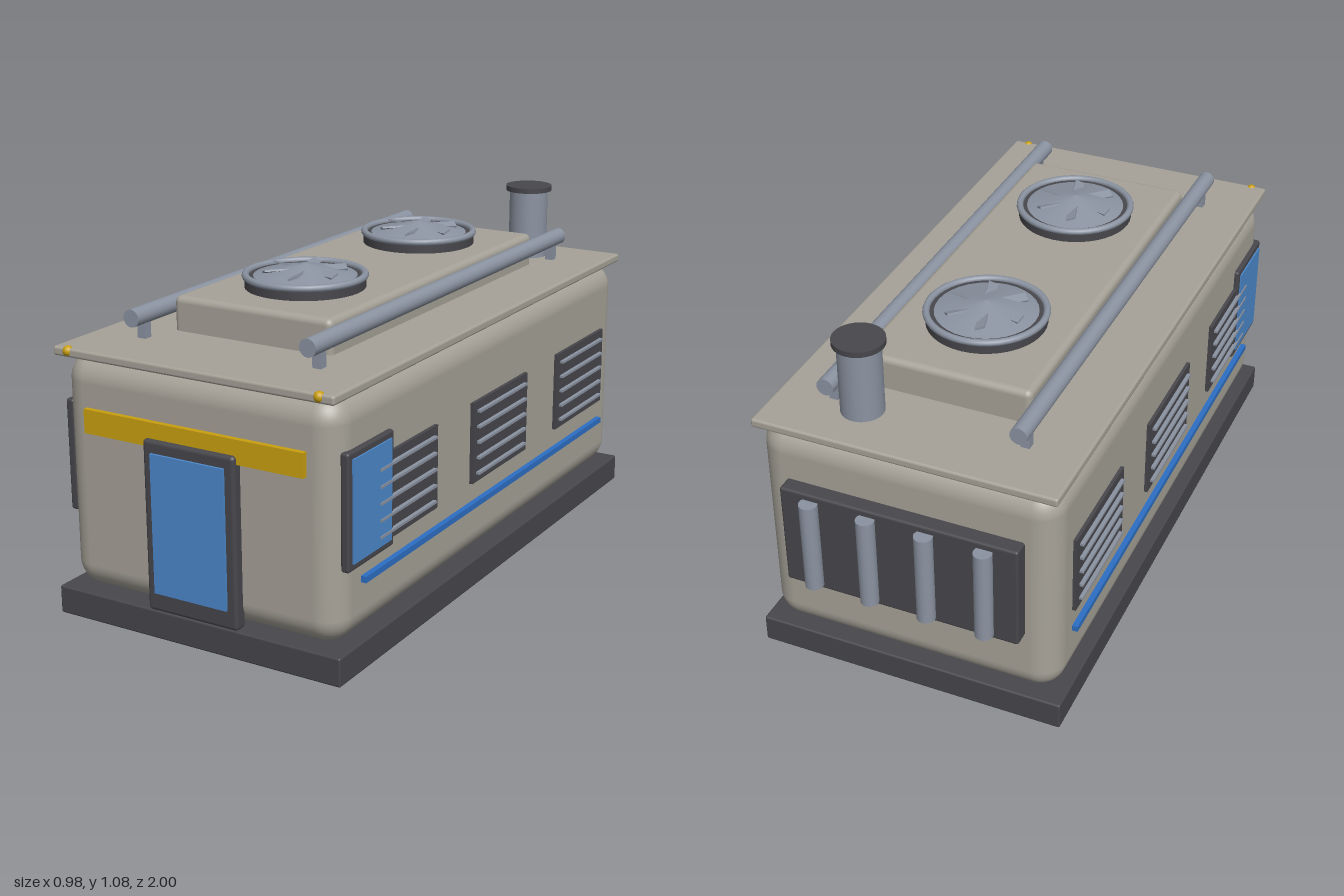
import * as THREE from 'three';
import { RoundedBoxGeometry } from 'three/addons/geometries/RoundedBoxGeometry.js';

const material = (name, color) => {
  const m = new THREE.MeshStandardMaterial({ color });
  m.name = name;
  return m;
};

export function createModel() {
  const shell = material('warm grey shell', 0xa6a298);
  const dark = material('dark trim', 0x47474c);
  const metal = material('grey metal', 0x8b93a1);
  const glass = material('blue glass', 0x4c88cb);
  const blue = material('blue stripe', 0x2c6fc4);
  const yellow = material('yellow', 0xc9a010);

  const model = new THREE.Group();
  model.name = 'cabin';

  const add = (name, geometry, mat, x = 0, y = 0, z = 0, parent = model) => {
    const mesh = new THREE.Mesh(geometry, mat);
    mesh.name = name;
    mesh.position.set(x, y, z);
    parent.add(mesh);
    return mesh;
  };
  // Boxes given by their limits on each axis; a radius rounds the edges
  const box = (name, mat, [x0, x1], [y0, y1], [z0, z1], radius = 0, segments = 3) => {
    const size = [x1 - x0, y1 - y0, z1 - z0];
    const geometry = radius
      ? new RoundedBoxGeometry(...size, segments, radius)
      : new THREE.BoxGeometry(...size);
    return add(name, geometry, mat, (x0 + x1) / 2, (y0 + y1) / 2, (z0 + z1) / 2);
  };
  const onSide = (s, a, b) => (s > 0 ? [a, b] : [-b, -a]);

  // Main volumes
  box('base', dark, [-0.49, 0.49], [0, 0.088], [-0.93, 0.985], 0.006, 2);
  box('body', shell, [-0.468, 0.468], [0.088, 0.812], [-0.91, 0.96], 0.08, 6);
  box('roof', shell, [-0.473, 0.473], [0.807, 0.835], [-0.92, 0.98], 0.008, 2);
  box('roofUnit', shell, [-0.272, 0.272], [0.81, 0.94], [-0.63, 0.668], 0.02);

  // Front door, sign band and marker lamps
  box('doorFrame', dark, [-0.156, 0.156], [0.09, 0.612], [0.945, 0.991], 0.012);
  box('doorGlass', glass, [-0.125, 0.125], [0.15, 0.575], [0.99, 0.999]);
  box('signBand', yellow, [-0.373, 0.373], [0.587, 0.66], [0.955, 0.977]);
  for (const s of [-1, 1])
    add('markerLamp', new THREE.SphereGeometry(0.016, 16, 12), yellow, s * 0.423, 0.825, 0.972);

  // Side windows, louvred vents, stripes and roof rails
  for (const s of [-1, 1]) {
    box('windowFrame', dark, onSide(s, 0.455, 0.483), [0.314, 0.66], [0.677, 0.924], 0.008, 2);
    box('windowGlass', glass, onSide(s, 0.482, 0.488), [0.337, 0.64], [0.697, 0.905]);
    box('sideStripe', blue, onSide(s, 0.464, 0.485), [0.255, 0.274], [-0.785, 0.835]);
    for (const z of [0.6, 0, -0.6]) {
      box('vent', dark, onSide(s, 0.455, 0.479), [0.336, 0.595], [z - 0.187, z + 0.187]);
      for (let i = 0; i < 5; i++) {
        const y = 0.365 + i * 0.05;
        box('ventSlat', metal, onSide(s, 0.47, 0.491), [y - 0.004, y + 0.004], [z - 0.163, z + 0.163]);
      }
    }
    const rail = add('roofRail', new THREE.CylinderGeometry(0.027, 0.027, 1.62, 20), metal, s * 0.3, 0.905, 0.025);
    rail.rotation.x = Math.PI / 2;
    for (const z of [0.775, -0.725])
      box('railPost', metal, [s * 0.3 - 0.014, s * 0.3 + 0.014], [0.83, 0.9], [z - 0.014, z + 0.014]);
  }

  // Roof fans: dark drum, metal rim, shallow cone and tilted blades
  for (const z of [0.372, -0.328]) {
    const fan = new THREE.Group();
    fan.name = 'roofFan';
    fan.position.set(0, 0.94, z);
    model.add(fan);
    add('fanDrum', new THREE.CylinderGeometry(0.183, 0.183, 0.036, 40), dark, 0, 0.016, 0, fan);
    const rim = add('fanRim', new THREE.TorusGeometry(0.18, 0.011, 10, 40), metal, 0, 0.036, 0, fan);
    rim.rotation.x = Math.PI / 2;
    add('fanCone', new THREE.ConeGeometry(0.157, 0.036, 32), metal, 0, 0.053, 0, fan);
    for (let i = 0; i < 6; i++) {
      const pivot = new THREE.Group();
      pivot.name = 'fanBladePivot';
      pivot.rotation.y = (i * Math.PI) / 3 + Math.PI / 4;
      fan.add(pivot);
      const blade = add('fanBlade', new THREE.BoxGeometry(0.075, 0.006, 0.03), metal, 0.09, 0.051, 0, pivot);
      blade.rotation.x = 0.35;
    }
  }

  // Exhaust stack
  add('stack', new THREE.CylinderGeometry(0.065, 0.065, 0.24, 32), metal, 0.2, 0.945, -0.75);
  add('stackCap', new THREE.CylinderGeometry(0.078, 0.078, 0.017, 32), dark, 0.2, 1.071, -0.75);

  // Rear panel with upright pipes
  box('rearPanel', dark, [-0.373, 0.373], [0.308, 0.648], [-0.959, -0.89], 0.008, 2);
  for (let i = 0; i < 4; i++)
    add('rearPipe', new THREE.CylinderGeometry(0.028, 0.028, 0.3, 20), metal, -0.273 + i * 0.182, 0.478, -0.972);

  return model;
}
